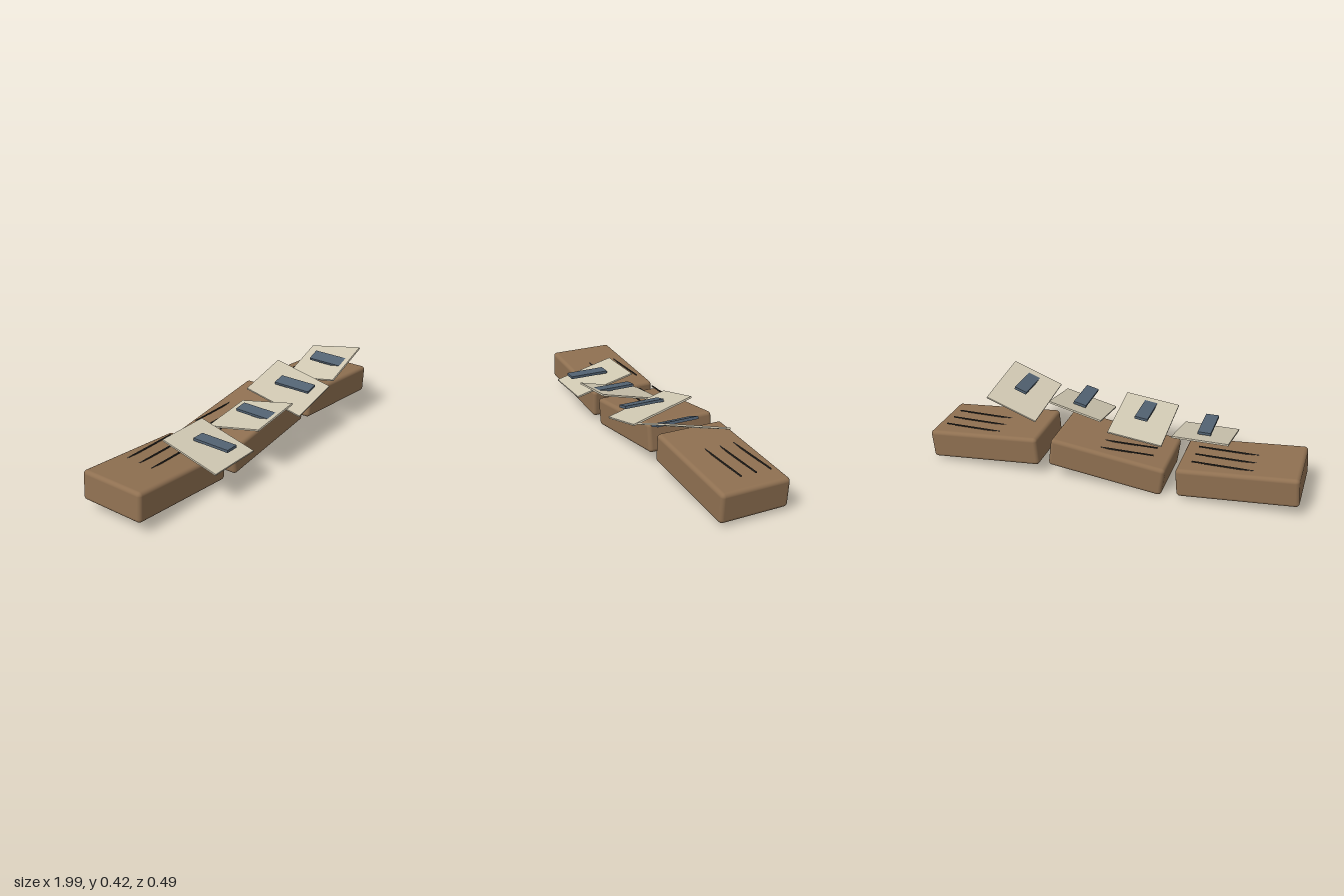
import * as THREE from 'three';
import { RoundedBoxGeometry } from 'three/addons/geometries/RoundedBoxGeometry.js';

const paint = (color) => new THREE.MeshStandardMaterial({ color });

function addMesh(parent, name, geometry, material, x, y, z) {
  const mesh = new THREE.Mesh(geometry, material);
  mesh.name = name;
  mesh.position.set(x, y, z);
  parent.add(mesh);
  return mesh;
}

export function createModel() {
  const model = new THREE.Group();
  model.name = 'blocksAndPlates';
  const wood = paint(0x8f7051);
  const dark = paint(0x33302c);
  const cream = paint(0xd0c8b2);
  const slate = paint(0x526272);

  // Three rounded wooden blocks, tilted alternately, each with three level grain strips
  const blockGeo = new RoundedBoxGeometry(0.62, 0.155, 0.368, 4, 0.02);
  const grainGeo = new THREE.BoxGeometry(0.315, 0.006, 0.006);
  const blocks = [
    { x: -0.684, tilt: -0.08, grainX: -0.6 },
    { x: -0.002, tilt: 0.13, grainX: -0.085 },
    { x: 0.682, tilt: -0.08, grainX: 0.765 },
  ];
  for (const { x, tilt, grainX } of blocks) {
    addMesh(model, 'woodBlock', blockGeo, wood, x, 0.122, -0.062).rotation.z = tilt;
    for (const z of [-0.021, -0.102, -0.182]) {
      addMesh(model, 'grainStrip', grainGeo, dark, grainX, 0.203, z);
    }
  }

  // Four thin plates, pitched alternately and rolled further each time, each with a pad
  const plateGeo = new THREE.BoxGeometry(0.296, 0.009, 0.34);
  const padGeo = new THREE.BoxGeometry(0.07, 0.014, 0.214);
  for (let i = 0; i < 4; i++) {
    const x = -0.457 + i * 0.342;
    const y = 0.23 + i * 0.0332;
    const roll = i * 0.12;
    const plate = addMesh(model, 'plate', plateGeo, cream, x, y, 0.08);
    plate.rotation.set(i % 2 ? -0.24 : 0.24, 0, roll, 'ZYX');
    addMesh(model, 'pad', padGeo, slate, x - 0.002, y + 0.031, 0.123).rotation.z = roll;
  }
  return model;
}
